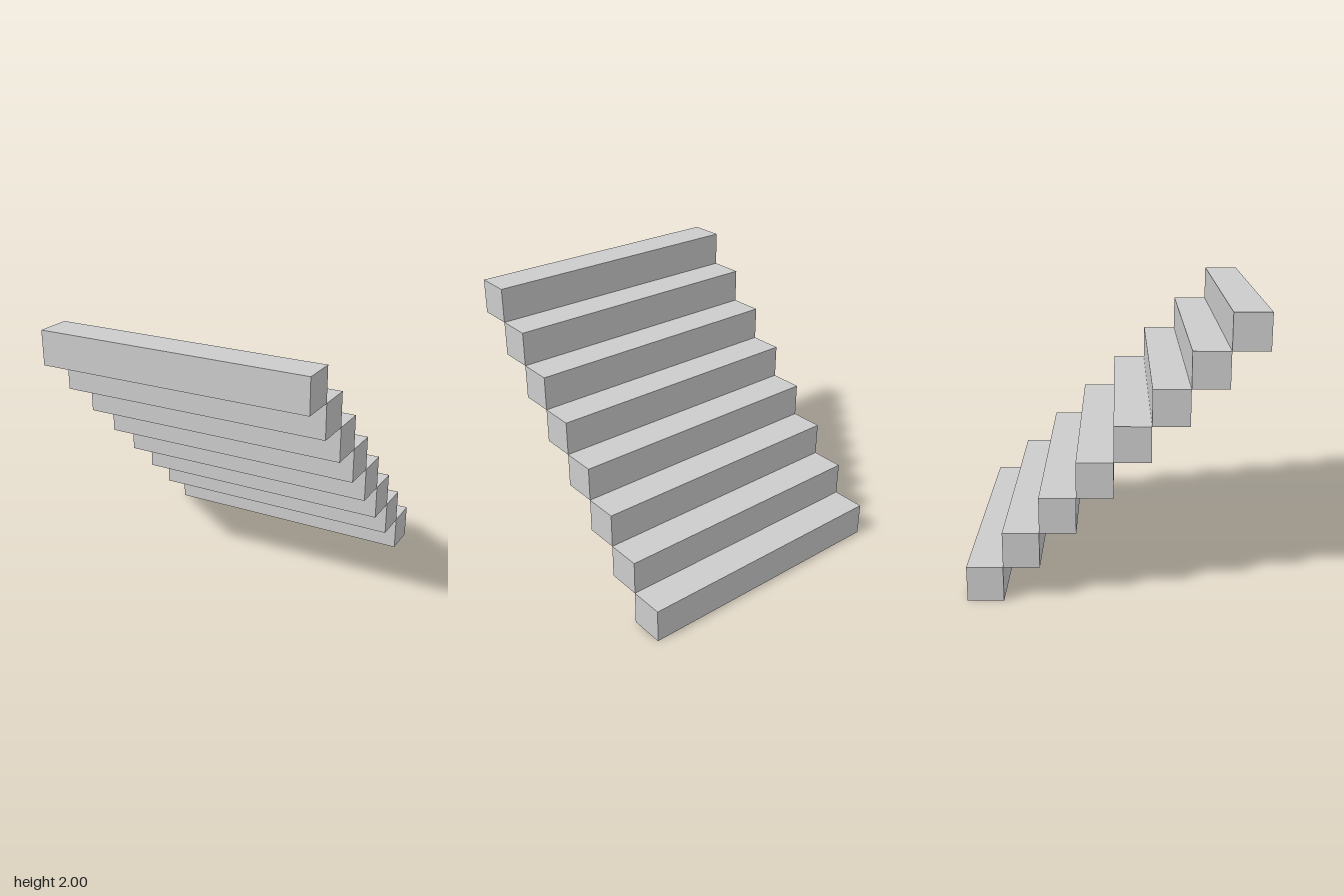
import * as THREE from 'three';

const STEP_COUNT = 8;
const STEP_SIZE = 2 / STEP_COUNT; // rise and depth of each step
const STAIR_WIDTH = 2;

export function createModel() {
  const stairs = new THREE.Group();
  stairs.name = 'stairs';

  const stone = new THREE.MeshStandardMaterial({ color: 0xcccccc });
  stone.name = 'light grey';

  // Square bars climbing from the back (-z) up to the front (+z)
  const stepGeometry = new THREE.BoxGeometry(STAIR_WIDTH, STEP_SIZE, STEP_SIZE);
  for (let i = 0; i < STEP_COUNT; i++) {
    const step = new THREE.Mesh(stepGeometry, stone);
    step.name = `step${i + 1}`;
    const offset = (i + 0.5) * STEP_SIZE;
    step.position.set(0, offset, offset - 1);
    stairs.add(step);
  }

  return stairs;
}
